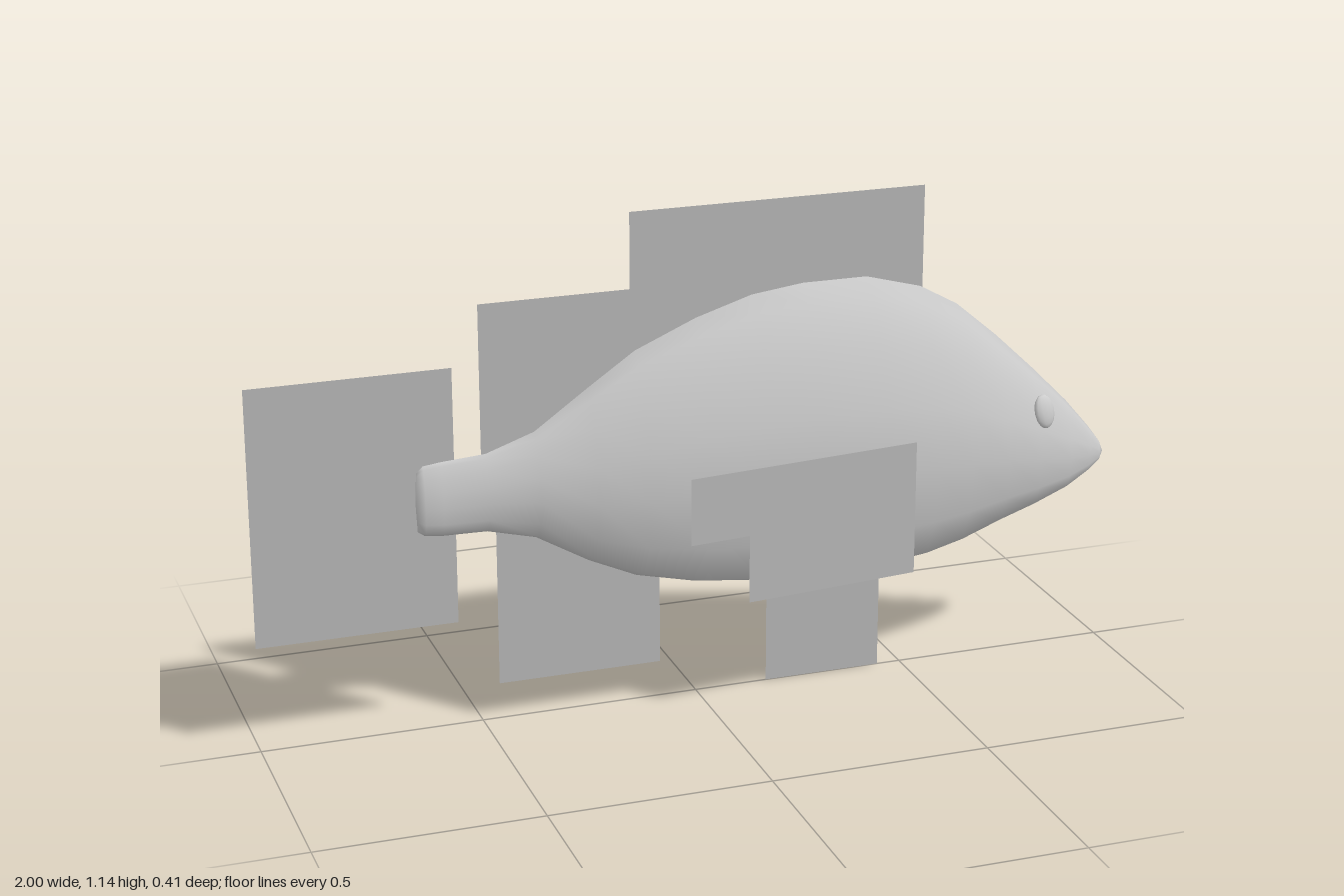
import * as THREE from 'three';

const skin = new THREE.MeshStandardMaterial({ color: 0xcccccc });
skin.name = 'pale grey skin';
const finGrey = new THREE.MeshStandardMaterial({ color: 0xb8b8b8, side: THREE.DoubleSide });
finGrey.name = 'fin grey';

// Body stations from tail to nose: x, top y, bottom y, half width
const stations = [
  [-0.635, 0.6, 0.465, 0.012], [-0.62, 0.615, 0.455, 0.02], [-0.58, 0.62, 0.45, 0.023],
  [-0.48, 0.627, 0.448, 0.028], [-0.37, 0.665, 0.42, 0.052], [-0.25, 0.75, 0.35, 0.088],
  [-0.14, 0.825, 0.3, 0.11], [0, 0.885, 0.267, 0.13], [0.13, 0.925, 0.252, 0.139],
  [0.25, 0.94, 0.245, 0.143], [0.4, 0.94, 0.245, 0.143], [0.53, 0.905, 0.262, 0.134],
  [0.62, 0.855, 0.285, 0.121], [0.72, 0.77, 0.322, 0.1], [0.81, 0.685, 0.35, 0.076],
  [0.9, 0.595, 0.382, 0.045], [0.96, 0.525, 0.415, 0.02], [0.99, 0.485, 0.438, 0.008],
];

// Half cross-section from back ridge to belly: height share, width share
const half = [[1, 0], [0.95, 0.29], [0.81, 0.61], [0.61, 0.93], [0.4, 1], [0.19, 0.89], [0.05, 0.57], [0, 0]];
const section = [...half, ...half.slice(1, -1).reverse().map(([t, w]) => [t, -w])];

function bodyGeometry() {
  const n = section.length, last = stations.length - 1;
  const pos = [], index = [];
  for (const [x, top, bottom, w] of stations)
    for (const [t, s] of section) pos.push(x, bottom + (top - bottom) * t, w * s);
  const tailEnd = pos.length / 3;
  pos.push(-0.638, 0.53, 0, 1, 0.46, 0);
  for (let j = 0; j < n; j++) {
    const k = (j + 1) % n;
    for (let i = 0; i < last; i++) {
      const a = i * n, b = a + n;
      index.push(a + j, a + k, b + k, a + j, b + k, b + j);
    }
    index.push(tailEnd, k, j, tailEnd + 1, last * n + j, last * n + k);
  }
  const g = new THREE.BufferGeometry();
  g.setAttribute('position', new THREE.Float32BufferAttribute(pos, 3));
  g.setIndex(index);
  g.computeVertexNormals();
  return g;
}

export function createModel() {
  const model = new THREE.Group();
  model.name = 'fish';

  const add = (name, geometry, material) => {
    const mesh = new THREE.Mesh(geometry, material);
    mesh.name = name;
    model.add(mesh);
    return mesh;
  };
  const sheet = (points) =>
    new THREE.ShapeGeometry(new THREE.Shape(points.map(([x, y]) => new THREE.Vector2(x, y))));

  add('body', bodyGeometry(), skin);

  // Flat fins on the centre plane
  add('tailFin', sheet([[-1, 0.243], [-0.55, 0.243], [-0.55, 0.83], [-1, 0.83]]), finGrey);
  add('dorsalFin', sheet([[-0.49, 0.58], [-0.15, 0.58], [0.535, 0.8], [0.535, 1.137],
    [-0.15, 1.137], [-0.15, 0.965], [-0.49, 0.965]]), finGrey);
  add('analFin', sheet([[-0.46, 0.083], [-0.085, 0.083], [-0.085, 0.47], [-0.46, 0.47]]), finGrey);
  add('pelvicFin', sheet([[0.17, 0], [0.445, 0], [0.445, 0.3], [0.17, 0.3]]), finGrey);

  for (const side of [1, -1]) {
    const label = side > 0 ? 'Front' : 'Back';

    // Stepped side fins that flare outwards towards the tail
    const fin = sheet([[0.06, 0.28], [0.47, 0.28], [0.47, 0.59], [-0.08, 0.59], [-0.08, 0.437], [0.06, 0.437]]);
    const p = fin.attributes.position;
    for (let i = 0; i < p.count; i++) p.setZ(i, side * (0.142 + (0.47 - p.getX(i)) * 0.112));
    fin.computeVertexNormals();
    add('pectoralFin' + label, fin, finGrey);

    // Flattened oval eyes that follow the slope of the head
    const eye = add('eye' + label, new THREE.SphereGeometry(1, 12, 8), skin);
    eye.scale.set(0.029, 0.04, 0.013);
    eye.position.set(0.82, 0.595, side * 0.057);
    eye.rotation.set(-side * 0.22, side * 0.35, 0.2);
  }
  return model;
}
